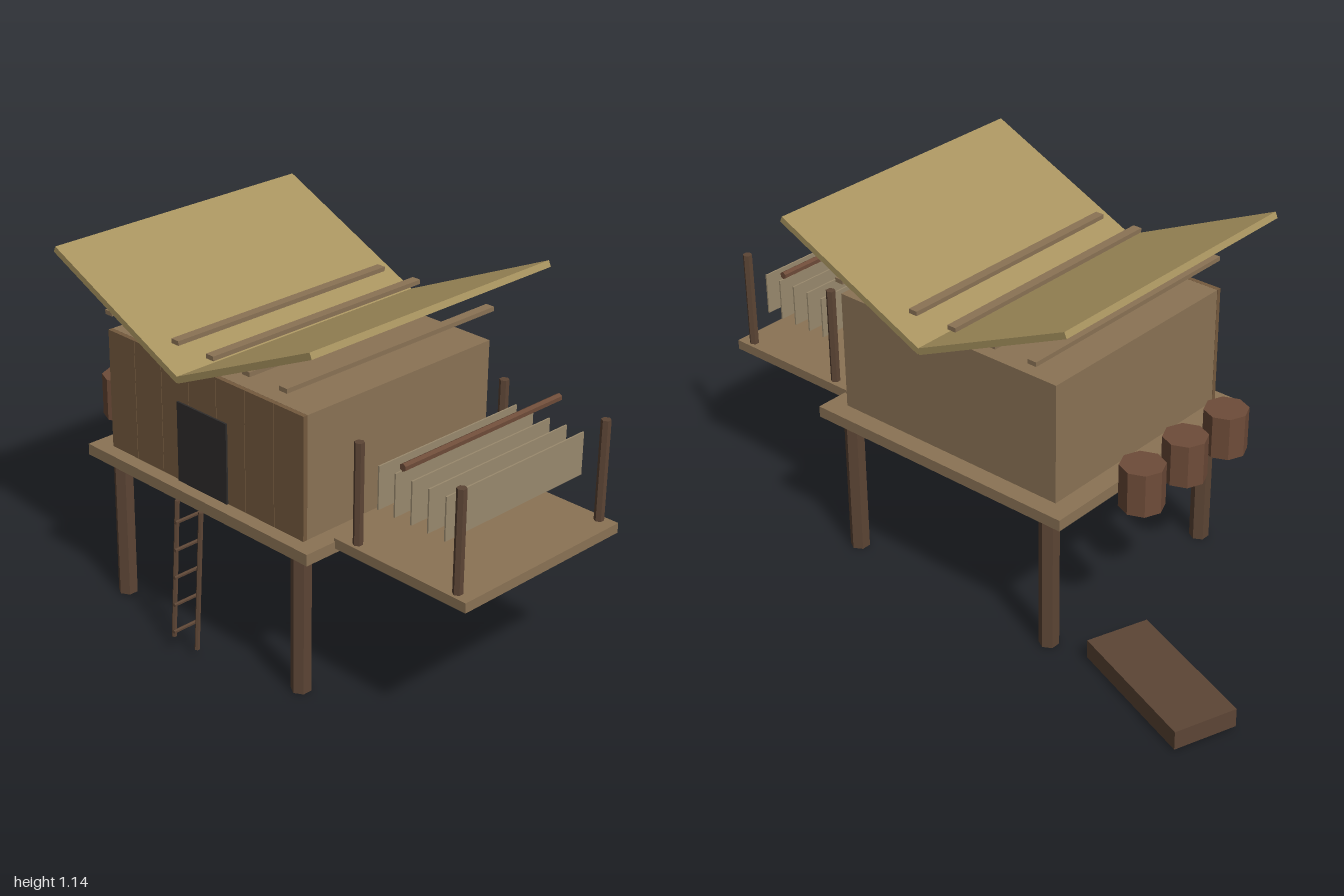
import * as THREE from 'three';

const mat = (color) => new THREE.MeshStandardMaterial({ color, flatShading: true });

export function createModel() {
  const model = new THREE.Group();
  const timber = mat(0x8b7355), plankWood = mat(0x745a3e), darkWood = mat(0x5c4535);
  const thatch = mat(0xa8935f), barrelWood = mat(0x6e4c39), doorDark = mat(0x2f2c2b);
  const cloth = mat(0x9a8a6e);

  const add = (name, geo, material, x, y, z, rx = 0, ry = 0, rz = 0) => {
    const mesh = new THREE.Mesh(geo, material);
    mesh.name = name;
    mesh.position.set(x, y, z);
    mesh.rotation.set(rx, ry, rz);
    model.add(mesh);
    return mesh;
  };
  const box = (w, h, d) => new THREE.BoxGeometry(w, h, d);
  const rod = (r, h, sides = 6) => new THREE.CylinderGeometry(r, r, h, sides);

  const cx = 0.04; // centre line of the hut

  // Stilts, platform and cabin
  for (const sx of [-1, 1])
    for (const sz of [-1, 1])
      add('stilt', rod(0.031, 0.466), darkWood, cx + sx * 0.391, 0.233, 0.003 + sz * 0.369);
  add('platform', box(0.955, 0.036, 0.86), timber, cx - 0.002, 0.483, 0.003);
  add('cabin', box(0.83, 0.384, 0.74), timber, cx, 0.693, 0.003);

  // Front wall planks and door
  for (let i = 0; i < 7; i++)
    add('wallPlank', box(0.117, 0.384, 0.015), plankWood, cx + (i - 3) * 0.119, 0.693, 0.381);
  add('door', box(0.211, 0.256, 0.015), doorDark, cx, 0.629, 0.387);

  // Butterfly roof and its battens
  for (const s of [-1, 1])
    add('roofPanel', box(0.59, 0.02, 0.955), thatch, cx + s * 0.2675, 1.0075, 0.003, 0, 0, s * 0.427);
  for (let i = 0; i < 6; i++)
    add('roofBatten', box(0.03, 0.014, 0.837), timber, cx + (i - 2.5) * 0.148, 0.961, 0.003);

  // Leaning ladder with rungs running front to back
  const lean = Math.atan2(-0.026, 0.45);
  for (const s of [-1, 1])
    add('ladderRail', rod(0.008, 0.45), darkWood, cx + s * 0.052, 0.25, 0.46, lean);
  for (let i = 0; i < 5; i++)
    add('ladderRung', rod(0.006, 0.1), darkWood, cx, 0.08 + i * 0.09, 0.468 - i * 0.0045, Math.PI / 2);

  // Side deck with posts, hanging pole and sheets
  add('sideDeck', box(0.49, 0.031, 0.64), timber, 0.755, 0.495, 0.003);
  for (const x of [0.58, 0.95])
    for (const z of [-0.293, 0.299])
      add('deckPost', rod(0.015, 0.315), darkWood, x, 0.667, z);
  add('hangingPole', rod(0.012, 0.64), barrelWood, 0.763, 0.822, 0.003, Math.PI / 2);
  for (let i = 0; i < 5; i++)
    add('hangingSheet', box(0.005, 0.133, 0.565), cloth, 0.64 + i * 0.0613, 0.702, 0.003);

  // Barrels on the other side
  for (let i = -1; i <= 1; i++)
    add('barrel', rod(0.068, 0.137, 8), barrelWood, -0.551, 0.557, i * 0.198);

  // Slab lying on the ground
  add('groundSlab', box(0.47, 0.061, 0.203), darkWood, -0.745, 0.04, -0.343, 0, -0.35, 0);

  return model;
}
